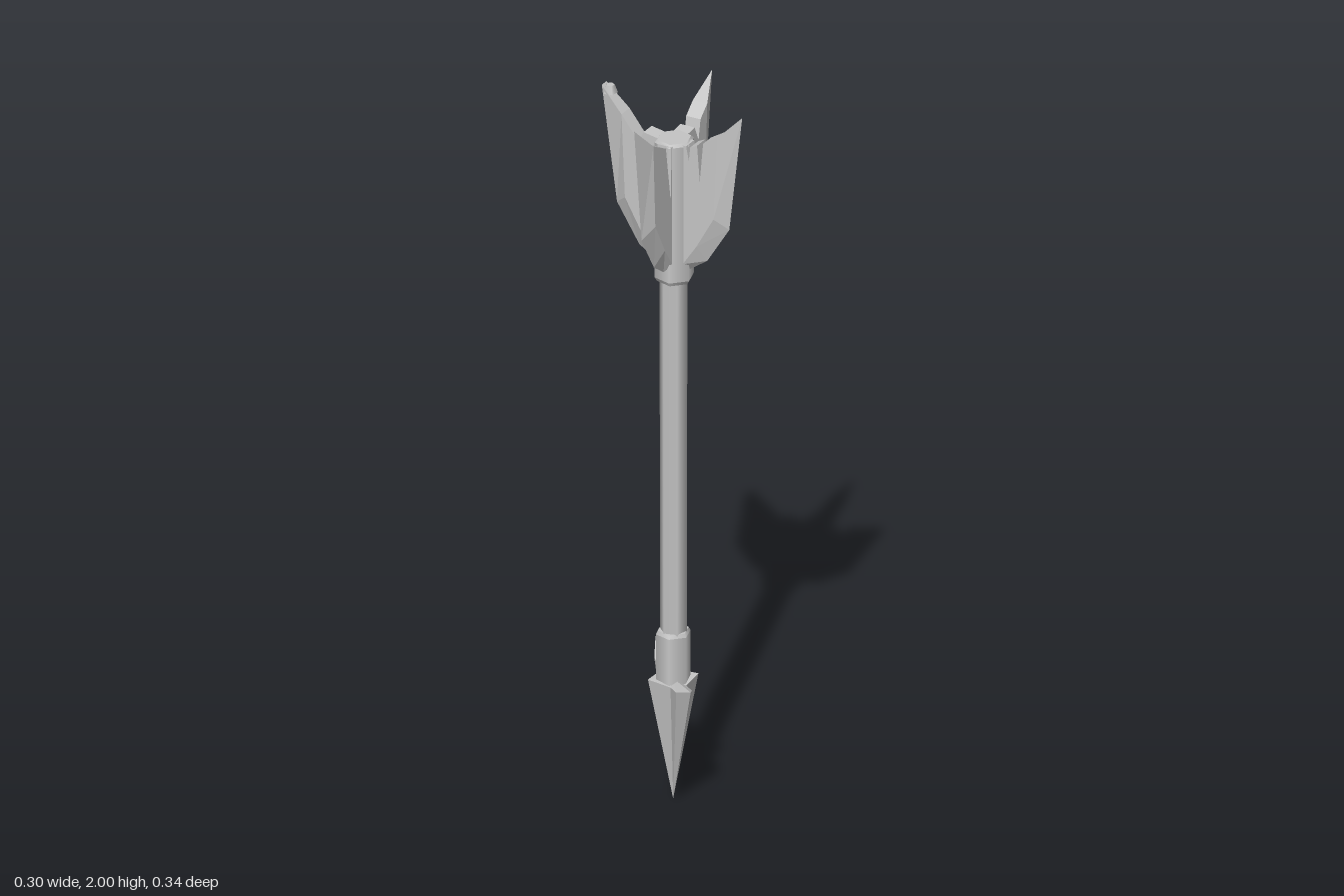
import * as THREE from 'three';

const grey = new THREE.MeshStandardMaterial({ color: 0xc6c6c6, side: THREE.DoubleSide });
grey.name = 'plain grey';

// Hard-edged mesh from a flat list of triangle corners [x, y, z]
function facetMesh(name, corners) {
  const geo = new THREE.BufferGeometry();
  geo.setAttribute('position', new THREE.Float32BufferAttribute(corners.flat(), 3));
  geo.computeVertexNormals();
  const mesh = new THREE.Mesh(geo, grey);
  mesh.name = name;
  return mesh;
}

// Six-sided rod section between two heights; turn puts corners on x instead of z
function hexRod(name, rTop, rBottom, y0, y1, turn, x = 0, z = 0) {
  const geo = new THREE.CylinderGeometry(rTop, rBottom, y1 - y0, 6);
  if (turn) geo.rotateY(Math.PI / 6);
  geo.translate(x, (y0 + y1) / 2, z);
  const mesh = new THREE.Mesh(geo, grey);
  mesh.name = name;
  return mesh;
}

// Four-bladed point: long blades along z, short ridges along x
function arrowHead() {
  const quarter = [[0.067, 0.35, 0], [0.021, 0.345, 0.05], [0.021, 0.357, 0.105], [0, 0.385, 0.168]];
  const mirrorX = ([x, y, z]) => [-x, y, z];
  const half = [...quarter, ...quarter.slice(0, 3).reverse().map(mirrorX)];
  const ring = [...half, ...half.slice(1, 6).reverse().map(([x, y, z]) => [x, y, -z])];
  const tris = [];
  ring.forEach((p, i) => {
    const q = ring[(i + 1) % ring.length];
    tris.push([0, 0, 0], p, q, [0, 0.345, 0], q, p);
  });
  return facetMesh('arrowHead', tris);
}

// Feather vane: thick plate with a sharpened outer edge and a torn top.
// Points are [distance from axis, height].
function vane(name, angle, tear, tipHalf) {
  const T = 0.021;
  const ridge = [[0.04, 1.55], [0.08, 1.61], [0.13, 1.7], [0.14, 1.935]];
  const edge = [[0.05, 1.53], [0.1, 1.565], [0.165, 1.67], [0.203, 2]];
  const edgeHalf = [0, 0, 0, tipHalf];
  const top = [...tear, [0.02, 1.89]];
  const tris = [];
  const quad = (a, b, c, d) => tris.push(a, b, c, a, c, d);
  const at = (p, t) => [p[0], p[1], t];

  // broad sides
  const face = [[0.02, 1.55], ...ridge, ...top];
  const outline = face.map((p) => new THREE.Vector2(...p));
  for (const [a, b, c] of THREE.ShapeUtils.triangulateShape(outline, [])) {
    tris.push(at(face[a], T), at(face[b], T), at(face[c], T));
    tris.push(at(face[c], -T), at(face[b], -T), at(face[a], -T));
  }
  // sharpened outer bevel
  for (let i = 0; i < 3; i++) {
    const h0 = edgeHalf[i], h1 = edgeHalf[i + 1];
    quad(at(ridge[i], T), at(edge[i], h0), at(edge[i + 1], h1), at(ridge[i + 1], T));
    quad(at(ridge[i + 1], -T), at(edge[i + 1], -h1), at(edge[i], -h0), at(ridge[i], -T));
    if (h1) quad(at(edge[i], h0), at(edge[i], -h0), at(edge[i + 1], -h1), at(edge[i + 1], h1));
  }
  // torn top and bottom end
  const wall = (a, ta, b, tb) => quad(at(a, ta), at(a, -ta), at(b, -tb), at(b, tb));
  wall(edge[3], tipHalf, ridge[3], T);
  wall(ridge[0], T, edge[0], 0);
  [ridge[3], ...top].forEach((p, i, list) => i && wall(list[i - 1], T, p, T));

  const mesh = facetMesh(name, tris);
  mesh.rotation.y = THREE.MathUtils.degToRad(angle);
  return mesh;
}

export function createModel() {
  const model = new THREE.Group();
  model.name = 'arrow';

  // point, socket and shaft
  model.add(arrowHead());
  model.add(hexRod('headSocket', 0.046, 0.046, 0.33, 0.477, true));
  model.add(hexRod('headSocketRim', 0.041, 0.046, 0.477, 0.487, true));
  model.add(hexRod('shaft', 0.037, 0.035, 0.4, 1.52, false, 0, 0.003));

  // core that holds the vanes
  model.add(hexRod('coreLowerRim', 0.052, 0.047, 1.49, 1.5, true, 0.003));
  model.add(hexRod('vaneCore', 0.052, 0.052, 1.5, 1.886, true, 0.003));
  model.add(hexRod('coreUpperRim', 0.045, 0.052, 1.886, 1.894, true, 0.003));

  // vanes, each torn differently along the top
  model.add(vane('backLeftVane', 45, [[0.105, 1.905], [0.095, 1.85], [0.075, 1.895]], 0));
  model.add(vane('backRightVane', 135, [[0.09, 1.87], [0.075, 1.9]], 0.012));
  model.add(vane('frontRightVane', 225, [[0.075, 1.9], [0.05, 1.74], [0.045, 1.89]], 0));
  model.add(vane('frontLeftVane', 315, [[0.1, 1.91], [0.09, 1.8], [0.082, 1.9], [0.062, 1.89], [0.058, 1.85], [0.05, 1.89]], 0));

  // bent tip of the back right vane
  const bent = new THREE.Mesh(new THREE.CylinderGeometry(0.012, 0.02, 0.022, 5), grey);
  bent.name = 'bentVaneTip';
  bent.position.set(-0.13, 1.988, -0.134);
  model.add(bent);

  return model;
}
